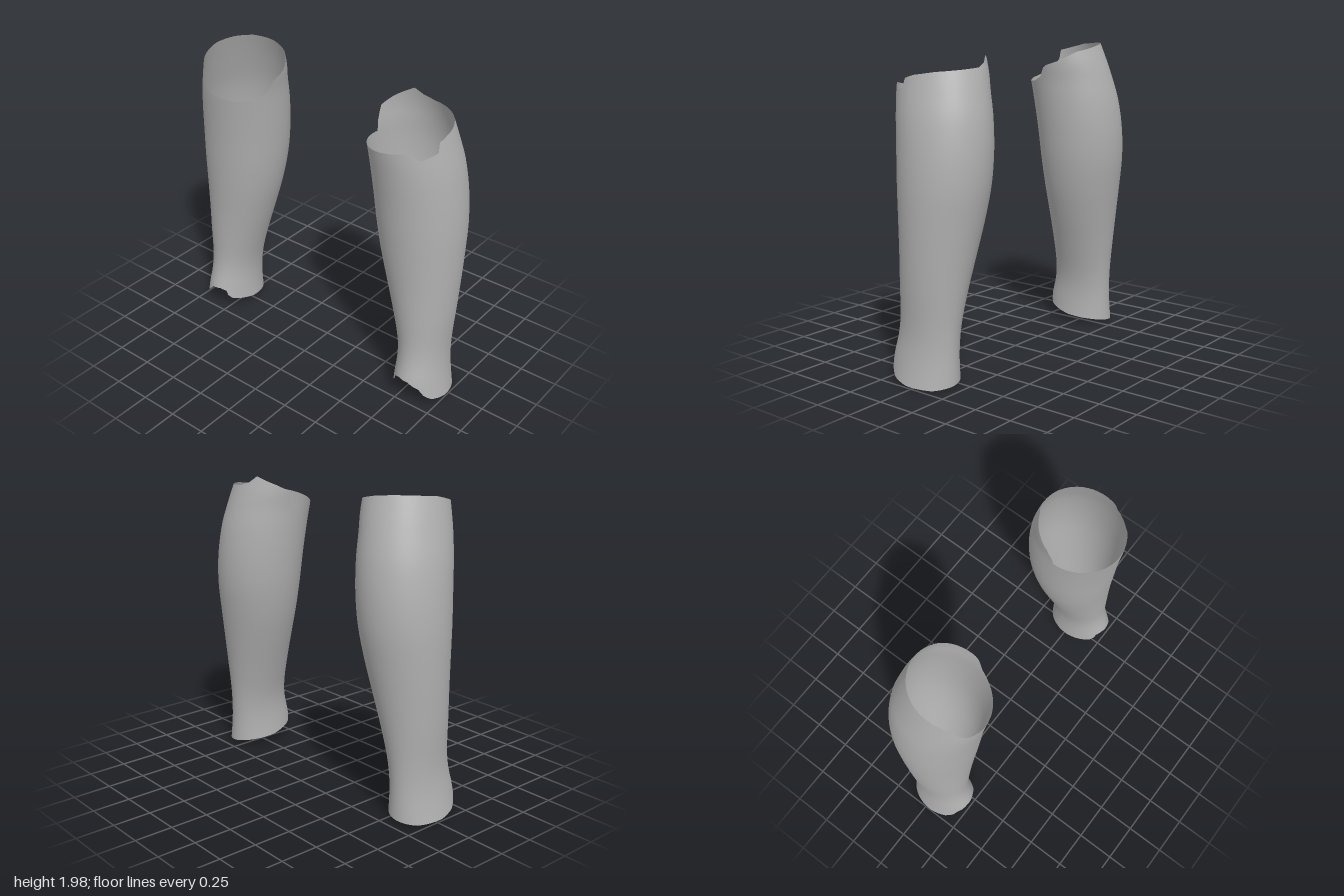
import * as THREE from 'three';

// Cross-sections of one shell: height, inner x, outer x, back z, front z
const SECTIONS = [
  [0.00, 0.645, 1.00, -0.19, 0.275],
  [0.10, 0.655, 0.982, -0.187, 0.268],
  [0.18, 0.66, 0.97, -0.185, 0.256],
  [0.28, 0.66, 0.96, -0.187, 0.23],
  [0.40, 0.643, 0.96, -0.195, 0.215],
  [0.60, 0.59, 0.972, -0.22, 0.218],
  [0.80, 0.53, 0.98, -0.25, 0.226],
  [1.00, 0.475, 0.985, -0.282, 0.24],
  [1.20, 0.437, 0.985, -0.31, 0.256],
  [1.40, 0.415, 0.972, -0.315, 0.272],
  [1.60, 0.40, 0.945, -0.296, 0.295],
  [1.75, 0.39, 0.91, -0.262, 0.314],
  [1.85, 0.375, 0.885, -0.235, 0.32],
  [2.00, 0.37, 0.845, -0.185, 0.325],
];

// Rims as [angle, height]: 0 outer side, 90 front, 180 inner side, 270 back
const BOTTOM_RIM = [[0, 0.015], [30, 0.04], [45, 0.08], [55, 0.13], [80, 0.175], [105, 0.182],
  [120, 0.165], [125, 0.13], [135, 0.1], [170, 0.07], [180, 0.06], [225, 0.04], [270, 0.02],
  [315, 0.005], [360, 0.015]];
const LEFT_TOP_RIM = [[0, 1.845], [15, 1.825], [20, 1.77], [45, 1.74], [55, 1.79], [90, 1.765],
  [135, 1.735], [180, 1.71], [185, 1.78], [195, 1.86], [215, 1.9], [245, 1.95], [255, 1.91],
  [270, 1.885], [300, 1.875], [330, 1.865], [360, 1.845]];
const RIGHT_TOP_RIM = [[0, 1.965], [40, 1.92], [45, 1.86], [55, 1.805], [70, 1.768], [90, 1.745],
  [125, 1.72], [150, 1.73], [165, 1.76], [175, 1.825], [180, 1.84], [200, 1.87], [230, 1.93],
  [270, 1.965], [300, 1.98], [330, 1.977], [360, 1.965]];

// Straight interpolation along a rim
function rimHeight(rim, angle) {
  let i = 0;
  while (i < rim.length - 2 && rim[i + 1][0] <= angle) i++;
  const [a, ya] = rim[i], [b, yb] = rim[i + 1];
  return THREE.MathUtils.lerp(ya, yb, (angle - a) / (b - a));
}

// Smooth (Hermite) interpolation between cross-sections
function sectionAt(y) {
  const last = SECTIONS.length - 1;
  let i = 0;
  while (i < last - 1 && SECTIONS[i + 1][0] <= y) i++;
  const slope = (k, c) => {
    const p = SECTIONS[Math.max(k - 1, 0)], n = SECTIONS[Math.min(k + 1, last)];
    return (n[c] - p[c]) / (n[0] - p[0]);
  };
  const A = SECTIONS[i], B = SECTIONS[i + 1], h = B[0] - A[0], t = (y - A[0]) / h;
  const t2 = t * t, t3 = t2 * t;
  return [1, 2, 3, 4].map((c) =>
    (2 * t3 - 3 * t2 + 1) * A[c] + (t3 - 2 * t2 + t) * h * slope(i, c) +
    (3 * t2 - 2 * t3) * B[c] + (t3 - t2) * h * slope(i + 1, c));
}

// Open tapered tube between two uneven rims; side is +1 (left) or -1 (right)
function shellGeometry(topRim, side) {
  const around = 72, rows = 36, positions = [], index = [];
  for (let r = 0; r <= rows; r++) {
    for (let i = 0; i < around; i++) {
      const deg = i * 360 / around, a = THREE.MathUtils.degToRad(deg);
      const y = THREE.MathUtils.lerp(rimHeight(BOTTOM_RIM, deg), rimHeight(topRim, deg), r / rows);
      const [inner, outer, back, front] = sectionAt(y);
      const x = (inner + outer) / 2 + (outer - inner) / 2 * Math.cos(a);
      const z = (back + front) / 2 + (front - back) / 2 * Math.sin(a);
      positions.push(side * x, y, z);
      if (r === rows) continue;
      const j = (i + 1) % around;
      const p = r * around + i, q = r * around + j, u = p + around, v = q + around;
      if (side > 0) index.push(p, u, q, q, u, v);
      else index.push(p, q, u, q, v, u);
    }
  }
  const g = new THREE.BufferGeometry();
  g.setAttribute('position', new THREE.Float32BufferAttribute(positions, 3));
  g.setIndex(index);
  g.computeVertexNormals();
  return g;
}

export function createModel() {
  const group = new THREE.Group();
  group.name = 'shinSleeves';
  const grey = new THREE.MeshStandardMaterial({ color: 0xb0b0b0, side: THREE.DoubleSide });
  grey.name = 'grey';
  for (const [name, rim, side] of [['leftShin', LEFT_TOP_RIM, 1], ['rightShin', RIGHT_TOP_RIM, -1]]) {
    const mesh = new THREE.Mesh(shellGeometry(rim, side), grey);
    mesh.name = name;
    group.add(mesh);
  }
  return group;
}
